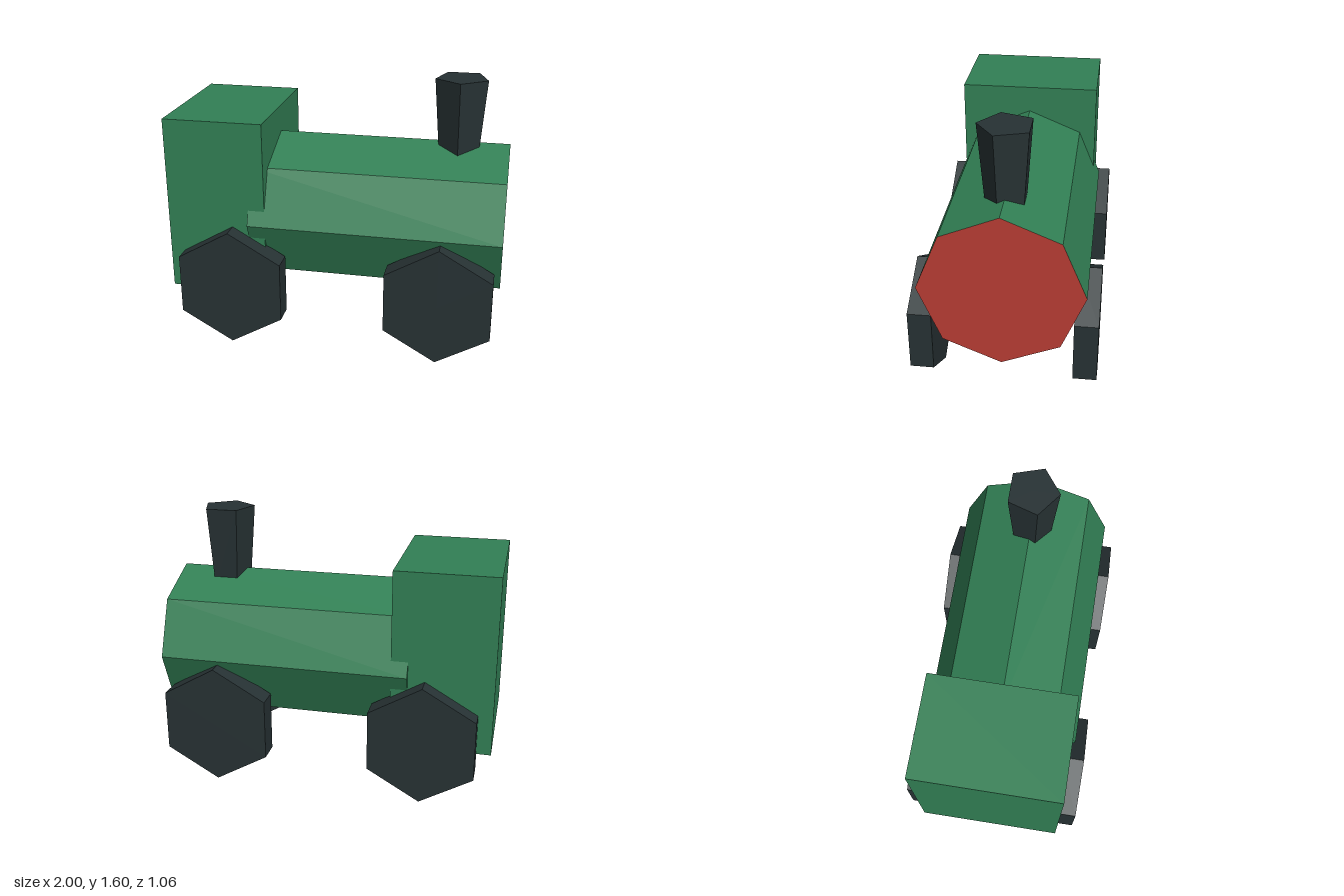
import * as THREE from 'three';

function paint(name, color) {
  const m = new THREE.MeshStandardMaterial({ color, flatShading: true });
  m.name = name;
  return m;
}

export function createModel() {
  const green = paint('green', 0x328055);
  const red = paint('red', 0xb83c34);
  const dark = paint('dark grey', 0x273234);
  const model = new THREE.Group();
  model.name = 'locomotive';

  function add(name, geometry, material, x, y, z) {
    const mesh = new THREE.Mesh(geometry, material);
    mesh.name = name;
    mesh.position.set(x, y, z);
    model.add(mesh);
  }

  // Octagonal boiler lying along x, with a red nose at its +x end
  const boiler = new THREE.CylinderGeometry(0.462, 0.462, 1.5, 8).rotateZ(-Math.PI / 2);
  add('boiler', boiler, [green, red, green], 0.25, 0.752, 0);

  // Driver's cab
  add('cab', new THREE.BoxGeometry(0.6, 1.073, 0.852), green, -0.7, 0.839, 0);

  // Five-sided chimney, flaring upwards and sunk into the boiler
  add('chimney', new THREE.CylinderGeometry(0.161, 0.12, 0.5, 5), dark, 0.7, 1.35, 0);

  // Hexagonal wheels, two on each side
  const wheel = new THREE.CylinderGeometry(0.362, 0.362, 0.135, 6).rotateX(Math.PI / 2);
  for (const [end, x] of [['rear', -0.6], ['front', 0.65]]) {
    for (const side of [-1, 1]) {
      add(end + (side > 0 ? 'RightWheel' : 'LeftWheel'), wheel, dark, x, 0.364, side * 0.463);
    }
  }
  return model;
}
